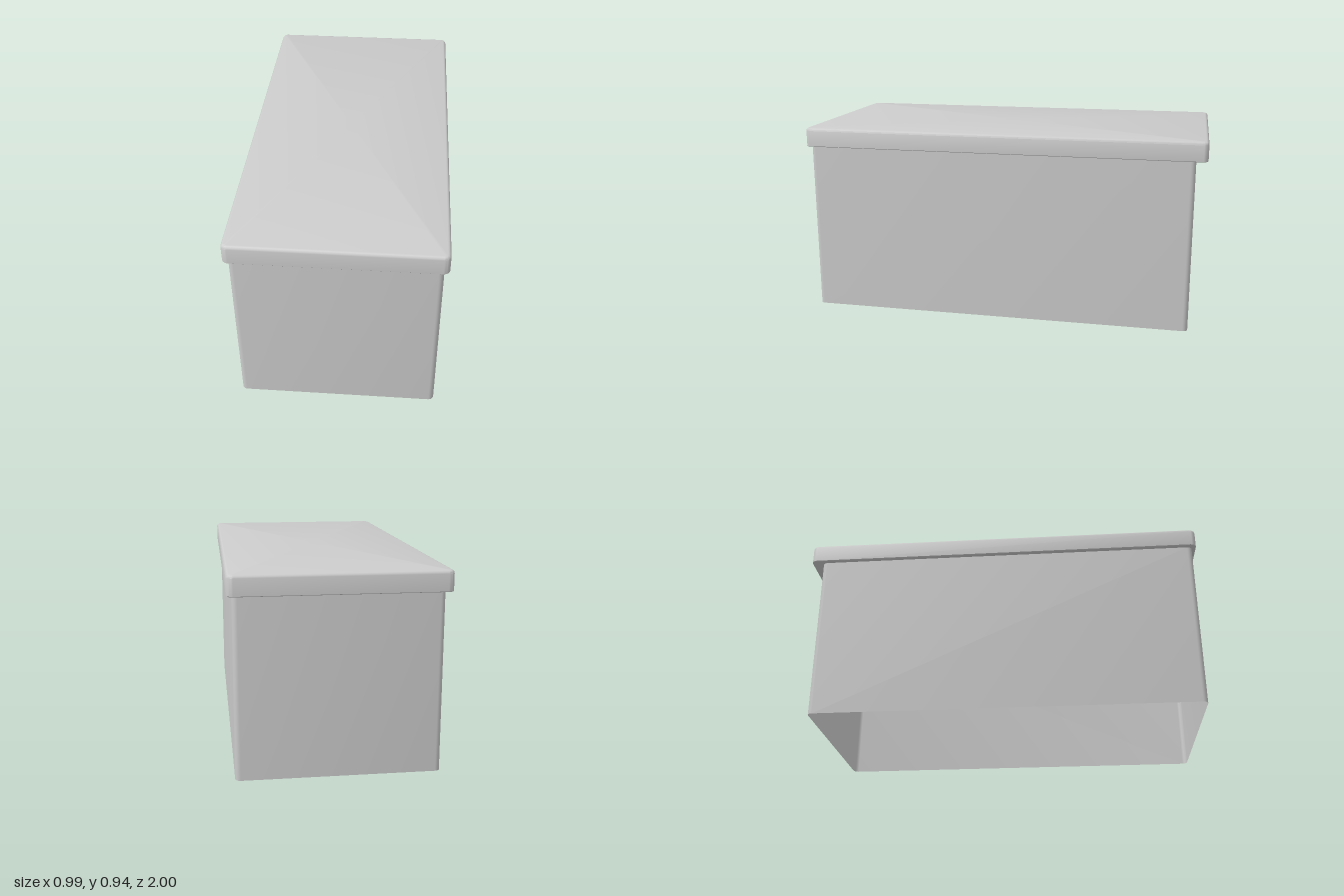
import * as THREE from 'three';
import { toCreasedNormals } from 'three/addons/utils/BufferGeometryUtils.js';

// Points of a rounded rectangle in the xz plane
function roundedRing(hx, hz, r, y, steps = 6) {
  const ring = [];
  [[1, 1], [-1, 1], [-1, -1], [1, -1]].forEach(([sx, sz], corner) => {
    for (let i = 0; i <= steps; i++) {
      const a = (corner + i / steps) * Math.PI / 2;
      ring.push([sx * (hx - r) + r * Math.cos(a), y, sz * (hz - r) + r * Math.sin(a)]);
    }
  });
  return ring;
}

// Skin stacked rings, from bottom to top, with optional end caps
function loft(rings, capped) {
  const pos = [];
  const tri = (a, b, c) => pos.push(...a, ...b, ...c);
  const n = rings[0].length;
  for (let k = 0; k < rings.length - 1; k++) {
    for (let i = 0; i < n; i++) {
      const j = (i + 1) % n, lo = rings[k], up = rings[k + 1];
      tri(lo[i], up[i], lo[j]);
      tri(lo[j], up[i], up[j]);
    }
  }
  if (capped) {
    const bottom = rings[0], top = rings[rings.length - 1];
    for (let i = 0; i < n; i++) {
      const j = (i + 1) % n;
      tri([0, top[0][1], 0], top[j], top[i]);
      tri([0, bottom[0][1], 0], bottom[i], bottom[j]);
    }
  }
  const geometry = new THREE.BufferGeometry();
  geometry.setAttribute('position', new THREE.Float32BufferAttribute(pos, 3));
  return toCreasedNormals(geometry, 0.7);
}

export function createModel() {
  const group = new THREE.Group();

  // Thin-walled body, open underneath, set slightly towards the front
  const body = new THREE.Mesh(
    loft([0, 0.85].map((y) => roundedRing(0.472, 0.9625, 0.025, y)), false),
    new THREE.MeshStandardMaterial({ color: 0xcccccc, side: THREE.DoubleSide })
  );
  body.name = 'body';
  body.position.z = 0.0175;
  group.add(body);

  // Overhanging lid with softened edges: [height, inset]
  const profile = [[0.85, 0.003], [0.853, 0], [0.93, 0], [0.937, 0.002], [0.943, 0.008], [0.945, 0.015]];
  const lid = new THREE.Mesh(
    loft(profile.map(([y, inset]) => roundedRing(0.495 - inset, 1 - inset, 0.03 - inset, y)), true),
    new THREE.MeshStandardMaterial({ color: 0xcccccc })
  );
  lid.name = 'lid';
  group.add(lid);

  return group;
}
